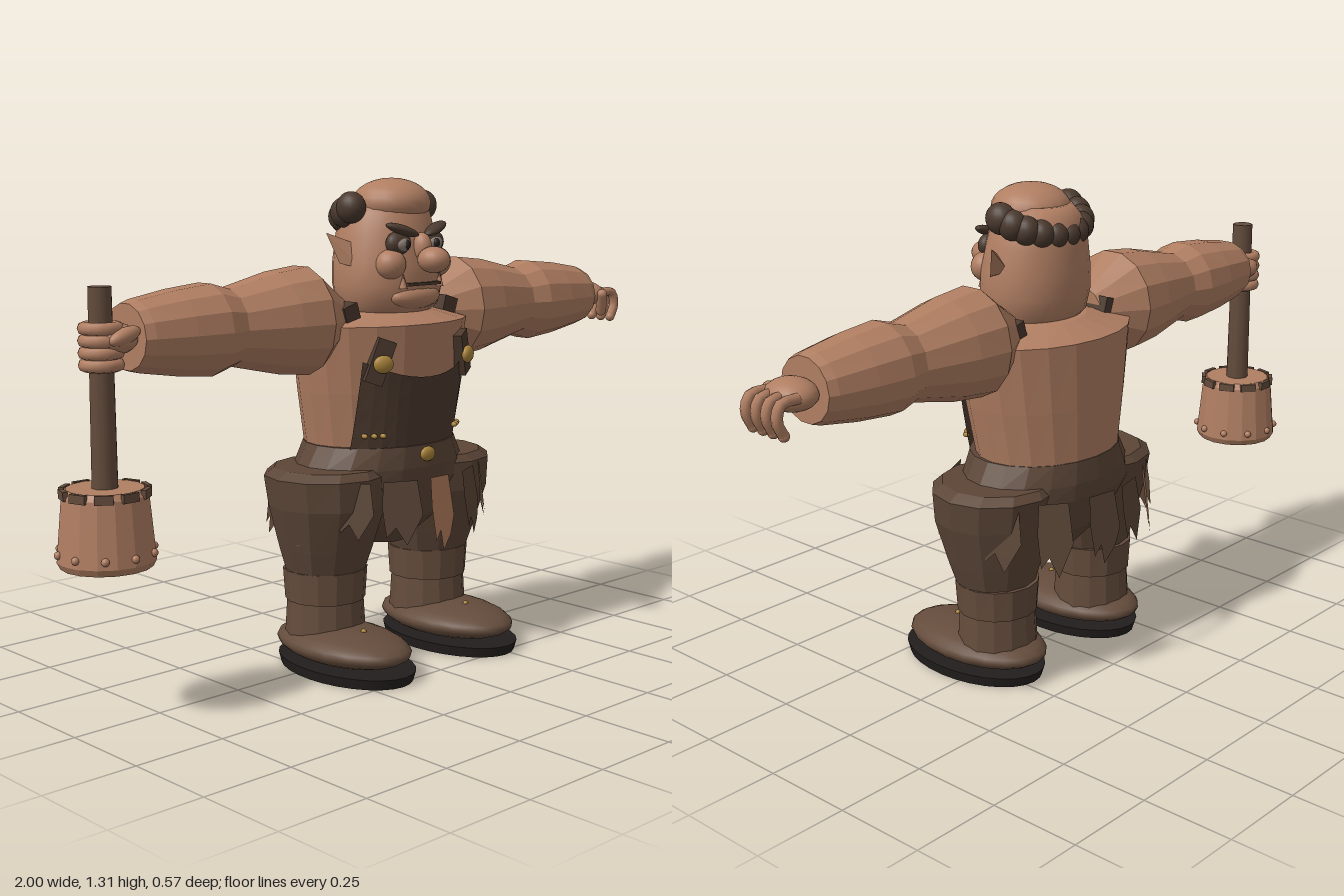
import * as THREE from 'three';
import { ConvexGeometry } from 'three/addons/geometries/ConvexGeometry.js';

const mat = (name, color, side = THREE.FrontSide) => {
  const m = new THREE.MeshStandardMaterial({ color, side });
  m.name = name;
  return m;
};
const V = (x, y, z) => new THREE.Vector3(x, y, z);

export function createModel() {
  const skin = mat('skin', 0xb07e62);
  const skinRag = mat('pale hide', 0xa87658, THREE.DoubleSide);
  const cloth = mat('brown cloth', 0x5c4637, THREE.DoubleSide);
  const bibCloth = mat('dark cloth', 0x4c3a2e, THREE.DoubleSide);
  const leather = mat('boot leather', 0x644c3c);
  const hair = mat('dark hair', 0x4a392e);
  const black = mat('black sole', 0x231e1e);
  const gold = mat('brass', 0xa8823a);
  const eyeGrey = mat('eye grey', 0x8a7c72);

  const model = new THREE.Group();
  model.name = 'ogre';
  const body = new THREE.Group();
  body.name = 'body';
  body.position.x = 0.025;
  model.add(body);

  const add = (name, geo, material, pos = [0, 0, 0], rot = [0, 0, 0], scale = [1, 1, 1]) => {
    const m = new THREE.Mesh(geo, material);
    m.name = name;
    m.position.set(...pos);
    m.rotation.set(...rot);
    m.scale.set(...scale);
    body.add(m);
    return m;
  };
  const flat = (g) => {
    const f = g.toNonIndexed();
    f.computeVertexNormals();
    return f;
  };
  const ball = (name, material, pos, radii, rot) =>
    add(name, new THREE.SphereGeometry(1, 20, 14), material, pos, rot, radii);

  // Closed loft through elliptical rings [y, rx, rz, cx, cz], listed upward
  const loft = (rings, n = 16, smooth = false) => {
    const p = [], idx = [];
    rings.forEach(([y, rx, rz, cx = 0, cz = 0]) => {
      for (let j = 0; j < n; j++) {
        const a = (j / n) * Math.PI * 2;
        p.push(cx + rx * Math.sin(a), y, cz + rz * Math.cos(a));
      }
    });
    const last = rings.length - 1, bottom = rings.length * n;
    for (const r of [rings[0], rings[last]]) p.push(r[3] || 0, r[0], r[4] || 0);
    for (let j = 0; j < n; j++) {
      const k = (j + 1) % n;
      for (let i = 0; i < last; i++) {
        const a = i * n + j, b = i * n + k;
        idx.push(a, b, b + n, a, b + n, a + n);
      }
      idx.push(bottom, k, j, bottom + 1, last * n + j, last * n + k);
    }
    const g = new THREE.BufferGeometry();
    g.setAttribute('position', new THREE.Float32BufferAttribute(p, 3));
    g.setIndex(idx);
    g.computeVertexNormals();
    return smooth ? g : flat(g);
  };

  // Torso and trousers
  add('torso', loft([[0.58, 0.215, 0.17, 0, -0.03], [0.75, 0.247, 0.185, 0, -0.022],
    [0.93, 0.275, 0.195, 0, -0.015], [0.965, 0.13, 0.11, 0, -0.01]], 20), skin);
  add('waistband', loft([[0.32, 0.07, 0.08, 0, -0.02], [0.4, 0.2, 0.15, 0, -0.02],
    [0.5, 0.28, 0.185, 0, -0.022], [0.545, 0.262, 0.19, 0, -0.02], [0.605, 0.226, 0.186, 0, -0.018]], 20), cloth);

  // Bib wrapped round the belly, with raised corners
  const bib = new THREE.PlaneGeometry(0.39, 1, 12, 4);
  const bp = bib.attributes.position;
  for (let i = 0; i < bp.count; i++) {
    const x = bp.getX(i), t = bp.getY(i) + 0.5;
    const y = 0.58 + t * (0.21 + 0.05 * Math.pow(Math.abs(x) / 0.195, 2));
    const k = (y - 0.58) / 0.35, rx = 0.227 + 0.06 * k, rz = 0.182 + 0.025 * k;
    bp.setXYZ(i, x, y, -0.024 + 0.012 * k + rz * Math.sqrt(1 - (x / rx) ** 2));
  }
  add('bib', flat(bib), bibCloth);
  ball('beltButton', gold, [0, 0.58, 0.172], [0.026, 0.02, 0.012]);

  // Ragged strips hanging from the waist: [angle, width, length, is hide]
  const rags = [[0, 0.085, 0.2, 1], [-0.42, 0.12, 0.17], [0.45, 0.12, 0.18], [-0.85, 0.1, 0.15],
    [0.9, 0.1, 0.16], [1.4, 0.12, 0.17], [-1.4, 0.12, 0.18], [2.0, 0.11, 0.18], [-2.0, 0.12, 0.17],
    [2.5, 0.1, 0.2], [-2.5, 0.1, 0.19, 1], [-2.9, 0.11, 0.17], [3.0, 0.11, 0.19]];
  rags.forEach(([a, w, len, hide], i) => {
    const q = i % 2 ? 1 : -1;
    const s = new THREE.Shape([[-0.4, 0], [0.4, 0], [0.5, -0.55], [0.28, -0.8], [0.1 * q, -1],
      [-0.15, -0.72], [-0.38, -0.86], [-0.45, -0.4]].map(([x, y]) => new THREE.Vector2(x * w, y * len)));
    const m = add(hide ? 'hideRag' : 'clothRag', new THREE.ShapeGeometry(s), hide ? skinRag : cloth,
      [0.31 * Math.sin(a), 0.525, -0.022 + 0.238 * Math.cos(a)]);
    m.rotation.set(-0.13, a, 0, 'YXZ');
  });

  // Head
  add('head', loft([[0.945, 0.12, 0.09, 0, 0.01], [0.975, 0.148, 0.125, 0, 0.015], [1.03, 0.158, 0.138, 0, 0.015],
    [1.09, 0.155, 0.138, 0, 0.013], [1.16, 0.14, 0.13, 0, 0.008], [1.22, 0.122, 0.122, 0, 0.005],
    [1.26, 0.09, 0.095, 0, 0.01]], 28, true), skin);
  ball('crown', skin, [0, 1.245, 0.03], [0.107, 0.066, 0.107]);
  ball('nose', skin, [0, 1.1, 0.19], [0.042, 0.035, 0.045]);
  ball('noseBridge', skin, [0, 1.13, 0.145], [0.025, 0.04, 0.03]);
  ball('chin', skin, [0, 1.0, 0.115], [0.09, 0.035, 0.045]);
  add('mouth', new THREE.BoxGeometry(0.12, 0.008, 0.03), hair, [0, 1.035, 0.144]);

  // Hair ring round the back of the head
  for (let i = 0; i <= 10; i++) {
    const a = (i / 10) * Math.PI, drop = Math.sin(a), r = 0.036 + 0.006 * (1 - drop);
    ball('hairTuft', hair, [0.133 * Math.cos(a), 1.235 - 0.045 * drop, 0.015 - 0.11 * drop], [r * 0.9, r, r]);
  }

  for (const s of [1, -1]) {
    // Face
    ball('cheek', skin, [s * 0.085, 1.088, 0.115], [0.042, 0.04, 0.04]);
    ball('eyeSocket', hair, [s * 0.062, 1.142, 0.12], [0.04, 0.033, 0.026]);
    ball('eye', eyeGrey, [s * 0.06, 1.14, 0.13], [0.028, 0.02, 0.022]);
    ball('pupil', black, [s * 0.055, 1.14, 0.146], [0.011, 0.013, 0.009]);
    ball('eyebrow', hair, [s * 0.062, 1.178, 0.135], [0.05, 0.013, 0.022], [0, s * 0.3, s * 0.3]);
    add('tusk', new THREE.ConeGeometry(0.011, 0.04, 8), skin, [s * 0.068, 1.045, 0.145]);
    add('ear', new ConvexGeometry([V(s * 0.13, 1.075, 0.055), V(s * 0.13, 1.14, 0.03), V(s * 0.13, 1.1, -0.01),
      V(s * 0.175, 1.09, 0.015), V(s * 0.198, 1.17, -0.012)]), skin);

    // Straps, buttons and rivets
    add('strapTab', new THREE.BoxGeometry(0.05, 0.12, 0.03), bibCloth, [s * 0.155, 0.84, 0.145], [0, s * 0.45, s * 0.35]);
    ball('strapButton', gold, [s * 0.16, 0.835, 0.166], [0.028, 0.024, 0.014], [0, s * 0.4, 0]);
    add('shoulderStrap', new THREE.BoxGeometry(0.05, 0.045, 0.17), bibCloth, [s * 0.185, 0.962, -0.01], [0, 0, -s * 0.3]);
    for (let i = 0; i < 3; i++) {
      const x = 0.135 + i * 0.02;
      ball('rivet', gold, [s * x, 0.64, -0.018 + 0.192 * Math.sqrt(1 - (x / 0.235) ** 2)], [0.007, 0.007, 0.01]);
    }

    // Arm, built upward then laid out sideways
    const armPos = [0, 0.945, -0.02], armRot = [0, 0, -s * Math.PI / 2];
    add('upperArm', loft([[0.16, 0.06, 0.06], [0.205, 0.09, 0.09], [0.28, 0.145, 0.137],
      [0.38, 0.134, 0.13], [0.54, 0.098, 0.1]], 14), skin, armPos, armRot);
    add('forearm', loft([[0.515, 0.095, 0.095], [0.595, 0.118, 0.117], [0.7, 0.108, 0.11],
      [0.81, 0.09, 0.094], [0.835, 0.082, 0.085]], 14), skin, armPos, armRot);
    ball('palm', skin, [s * 0.875, 0.945, -0.02], [0.06, 0.04, 0.07]);

    // Leg and boot
    const x = s * 0.198;
    add('trouserLeg', loft([[0.265, 0.112, 0.105, x, -0.018], [0.33, 0.132, 0.125, x, -0.015],
      [0.45, 0.163, 0.16, x, -0.01], [0.53, 0.172, 0.168, x, -0.015], [0.55, 0.15, 0.15, x * 0.95, -0.015]], 12), cloth);
    add('bootCuff', loft([[0.185, 0.11, 0.108, x, -0.022], [0.27, 0.116, 0.113, x, -0.022]], 14), leather);
    add('bootShaft', loft([[0.08, 0.112, 0.108, x, -0.022], [0.19, 0.105, 0.102, x, -0.022]], 14), leather);
    ball('bootFoot', leather, [x + s * 0.002, 0.071, 0.052], [0.136, 0.05, 0.225]);
    ball('bootStud', gold, [x, 0.117, 0.13], [0.008, 0.008, 0.008]);
    add('bootSole', new THREE.CylinderGeometry(1, 0.96, 0.028, 28), black, [x + s * 0.002, 0.014, 0.063], [0, 0, 0], [0.14, 1, 0.228]);
  }

  // Open left hand with curled fingers and thumb
  for (let i = 0; i < 4; i++) {
    const z = -0.072 + i * 0.036;
    const curve = new THREE.CatmullRomCurve3([V(0.9, 0.95, z), V(0.95, 0.947, z), V(0.963, 0.91, z), V(0.945, 0.872, z)]);
    add('finger', new THREE.TubeGeometry(curve, 8, 0.014, 8), skin);
    ball('fingertip', skin, [0.945, 0.872, z], [0.014, 0.014, 0.014]);
  }
  add('thumb', new THREE.CapsuleGeometry(0.016, 0.06, 4, 8), skin, [0.89, 0.92, 0.045], [0.35, 0, 0.35]);

  // Right fist gripping the hammer
  const hx = -0.905, hz = -0.02;
  for (let i = 0; i < 4; i++)
    add('grippingFinger', new THREE.TorusGeometry(0.04, 0.016, 8, 16), skin, [hx, 0.885 + i * 0.029, hz], [Math.PI / 2, 0, 0]);
  ball('grippingThumb', skin, [hx + 0.03, 0.955, hz + 0.055], [0.045, 0.02, 0.02], [0, 0, 0.3]);

  // Hammer
  add('hammerHandle', new THREE.CylinderGeometry(0.029, 0.033, 0.52, 10), leather, [hx, 0.81, hz]);
  add('hammerHead', loft([[0.398, 0.112, 0.112, hx, hz], [0.415, 0.121, 0.121, hx, hz],
    [0.575, 0.106, 0.106, hx, hz], [0.59, 0.095, 0.095, hx, hz]], 16), skin);
  for (let i = 0; i < 10; i++) {
    const a = (i / 10) * Math.PI * 2, sx = Math.sin(a), cz = Math.cos(a);
    ball('hammerStud', skin, [hx + 0.119 * sx, 0.435, hz + 0.119 * cz], [0.01, 0.01, 0.01]);
    add('hammerRimPlate', new THREE.BoxGeometry(0.045, 0.022, 0.012), leather, [hx + 0.103 * sx, 0.58, hz + 0.103 * cz], [0, a, 0]);
  }
  return model;
}
